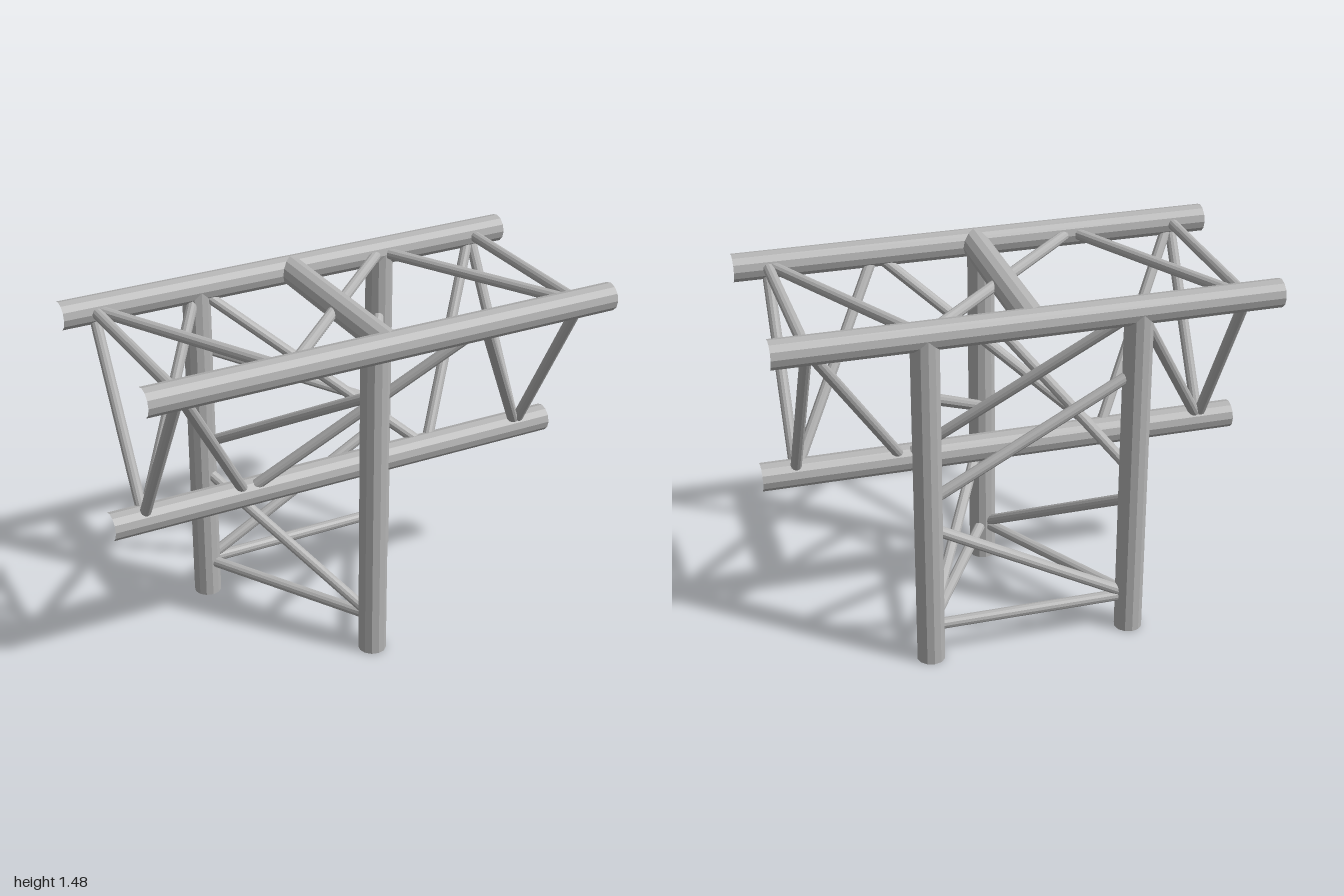
import * as THREE from 'three';

const CHORD_R = 0.0575, BRACE_R = 0.023;
const TOP = 1.425, LOW = 0.695; // chord centre heights
const HALF = 0.42;              // half spacing of chords and rear legs
const END = 0.86;               // outermost brace joints

export function createModel() {
  const model = new THREE.Group();
  model.name = 'trussTower';
  const steel = new THREE.MeshStandardMaterial({ color: 0xb4b4b4, flatShading: true });
  steel.name = 'galvanised steel';

  // Open-ended tube between two points
  const tube = (name, from, to, radius, parent) => {
    const a = new THREE.Vector3(...from), b = new THREE.Vector3(...to);
    const dir = b.clone().sub(a);
    const geo = new THREE.CylinderGeometry(radius, radius, dir.length(), 12, 1, true);
    const mesh = new THREE.Mesh(geo, steel);
    mesh.name = name;
    mesh.position.copy(a).add(b).multiplyScalar(0.5);
    mesh.quaternion.setFromUnitVectors(new THREE.Vector3(0, 1, 0), dir.normalize());
    parent.add(mesh);
  };
  const section = (name) => {
    const g = new THREE.Group();
    g.name = name;
    model.add(g);
    return g;
  };

  // Horizontal beam: three long chords, [y, z] each
  const beam = section('beam');
  const front = [TOP, HALF], back = [TOP, -HALF], bottom = [LOW, 0];
  for (const [name, c] of [['frontChord', front], ['backChord', back], ['bottomChord', bottom]])
    tube(name, [-1, ...c], [1, ...c], CHORD_R, beam);
  tube('crossBar', [0, TOP, -HALF], [0, TOP, HALF], CHORD_R, beam);

  // Each beam face: a strut at both ends and a zigzag starting on its first chord
  const xs = [-END, -HALF, HALF, END];
  for (const [name, p, q] of [['front', front, bottom], ['back', bottom, back], ['top', back, front]]) {
    for (const x of [-END, END]) tube(name + 'Strut', [x, ...p], [x, ...q], BRACE_R, beam);
    for (let i = 0; i < 3; i++) {
      const [s, e] = i % 2 ? [q, p] : [p, q];
      tube(name + 'Diagonal', [xs[i], ...s], [xs[i + 1], ...e], BRACE_R, beam);
    }
  }

  // Tower: three legs on an equilateral triangle, [x, z] each
  const tower = section('tower');
  const legs = [[0, -HALF + HALF * Math.sqrt(3)], [HALF, -HALF], [-HALF, -HALF]];
  const at = ([x, z], y) => [x, y, z];
  legs.forEach((leg, i) => {
    const next = legs[(i + 1) % 3];
    tube('leg', at(leg, 0), at(leg, TOP), CHORD_R, tower);
    // Braces spiral round the tower
    tube('bottomRail', at(leg, 0.152), at(next, 0.152), BRACE_R, tower);
    tube('lowerDiagonal', at(leg, 0.605), at(next, 0.152), BRACE_R, tower);
    tube('upperDiagonal', at(leg, 0.72), at(next, 1.17), BRACE_R, tower);
  });

  return model;
}
